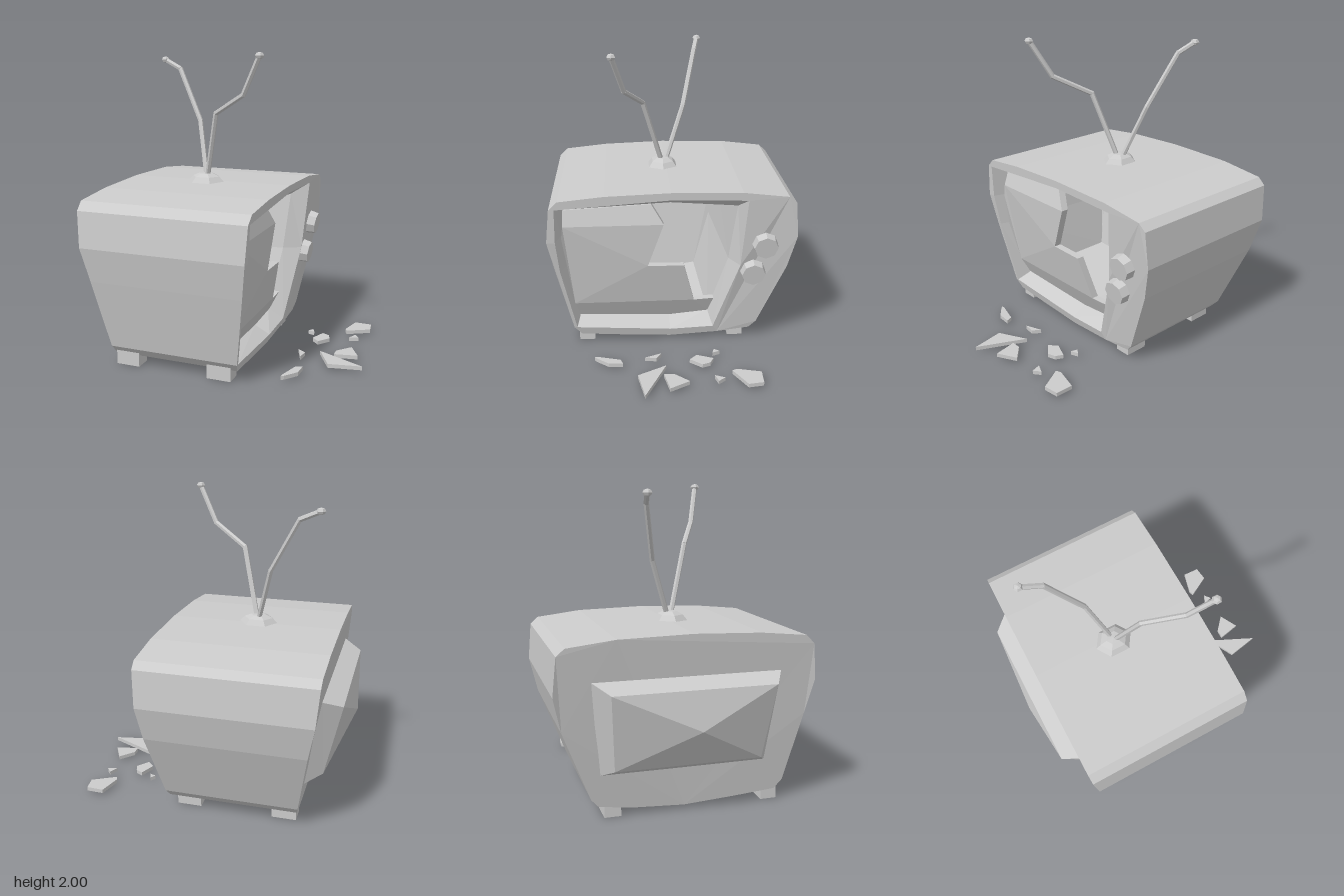
import * as THREE from 'three';

const material = new THREE.MeshStandardMaterial({ color: 0xcccccc, flatShading: true, side: THREE.DoubleSide });

// Piecewise linear lookup in a list of [key, value]
function lerpTable(table, k) {
  for (let i = 1; i < table.length; i++) {
    const [k0, v0] = table[i - 1], [k1, v1] = table[i];
    if (k <= k1 || i === table.length - 1) return v0 + (v1 - v0) * (k - k0) / (k1 - k0);
  }
}
// Leaning screen side and back side of the cabinet: x at height y
const frontX = y => lerpTable([[0.04, 0.21], [0.13, 0.235], [0.58, 0.305], [0.81, 0.338], [1.05, 0.35], [1.14, 0.355]], y);
const backX = y => lerpTable([[0.04, -0.62], [0.13, -0.635], [0.29, -0.66], [0.58, -0.71], [0.81, -0.755], [1.05, -0.775], [1.14, -0.78]], y);

// Outlines are [u, y] pairs seen from the screen side, u running towards -z
const ring = (pts, xAt) => pts.map(([u, y]) => new THREE.Vector3(xAt(y), y, -u));

function wall(a, b) {
  const out = [];
  a.forEach((p, i) => {
    const j = (i + 1) % a.length;
    out.push(b[i], b[j], a[j], b[i], a[j], p);
  });
  return out;
}

function face(pts, xAt, hole, flip) {
  const v2 = list => list.map(p => new THREE.Vector2(...p));
  const all = ring(hole ? [...pts, ...hole] : pts, xAt);
  const tris = THREE.ShapeUtils.triangulateShape(v2(pts), hole ? [v2(hole).reverse()] : []);
  const index = i => (i < pts.length ? i : all.length - 1 - (i - pts.length));
  return tris.flatMap(t => (flip ? [t[0], t[2], t[1]] : t).map(i => all[index(i)]));
}

function add(group, name, geometry) {
  const mesh = new THREE.Mesh(geometry, material);
  mesh.name = name;
  group.add(mesh);
  return mesh;
}

function solid(points) {
  const g = new THREE.BufferGeometry().setFromPoints(points);
  g.computeVertexNormals();
  return g;
}

const shapeOf = pts => new THREE.Shape(pts.map(p => new THREE.Vector2(...p)));

// Straight rod between two points
function rod(group, name, a, b, r) {
  const dir = b.clone().sub(a);
  const m = add(group, name, new THREE.CylinderGeometry(r, r, dir.length() + r * 0.5, 6));
  m.position.copy(a).add(b).multiplyScalar(0.5);
  m.quaternion.setFromUnitVectors(new THREE.Vector3(0, 1, 0), dir.normalize());
}

export function createModel() {
  const model = new THREE.Group();
  model.name = 'brokenTelevision';

  const outline = [[-0.62, 0.07], [-0.35, 0.048], [-0.015, 0.027], [0.31, 0.048], [0.53, 0.08], [0.577, 0.133],
    [0.757, 0.585], [0.81, 0.81], [0.79, 1.05], [0.74, 1.095], [0.445, 1.13], [-0.015, 1.14], [-0.44, 1.125],
    [-0.735, 1.095], [-0.79, 1.04], [-0.815, 0.81], [-0.77, 0.585], [-0.67, 0.13]];
  const opening = [[-0.65, 0.13], [-0.015, 0.085], [0.28, 0.1], [0.445, 0.6], [0.48, 1.075], [-0.015, 1.09],
    [-0.755, 1.04], [-0.76, 0.81], [-0.74, 0.585]];
  const inner = [[-0.63, 0.175], [-0.015, 0.14], [0.25, 0.175], [0.38, 0.6], [0.43, 0.995], [-0.015, 1.03],
    [-0.71, 0.995], [-0.725, 0.81], [-0.7, 0.585]];

  // Cabinet shell with a screen opening
  add(model, 'cabinet', solid([
    ...wall(ring(outline, frontX), ring(outline, backX)),
    ...face(outline, frontX, opening),
    ...face(outline, backX, null, true),
  ]));

  // Sloped frame around the screen, and the hollow inside
  const recess = y => frontX(y) - 0.12;
  const rear = y => backX(y) + 0.08;
  const small = inner.map(([u, y]) => [-0.14 + (u + 0.14) * 0.92, 0.59 + (y - 0.59) * 0.92]);
  add(model, 'screenFrame', solid(wall(ring(inner, recess), ring(opening, frontX))));
  add(model, 'cavity', solid([...wall(ring(small, rear), ring(inner, recess)), ...face(small, rear)]));

  // Broken glass in three bent bands
  const bulge = y => lerpTable([[0.14, 0], [0.29, 0.05], [0.59, 0.07], [0.89, 0.05], [1.03, 0]], y);
  const bands = [
    [[-0.715, 0.89], [-0.06, 0.89], [-0.14, 1.02], [-0.71, 0.995]],
    [[-0.66, 0.29], [0.15, 0.29], [0.075, 0.585], [-0.165, 0.59], [-0.06, 0.89], [-0.715, 0.89], [-0.725, 0.81], [-0.7, 0.585]],
    [[-0.63, 0.175], [-0.015, 0.14], [0.25, 0.175], [0.285, 0.3], [0.15, 0.29], [-0.66, 0.29]],
  ];
  const glass = new THREE.Group();
  glass.name = 'brokenScreen';
  model.add(glass);
  for (const band of bands) {
    const g = new THREE.ExtrudeGeometry(shapeOf(band), { depth: 0.05, bevelEnabled: false });
    g.rotateY(Math.PI / 2);
    const p = g.attributes.position;
    for (let i = 0; i < p.count; i++) p.setX(i, p.getX(i) - 0.05 + recess(p.getY(i)) + bulge(p.getY(i)));
    g.computeVertexNormals();
    add(glass, 'glassBand', g);
  }

  // Rear housing: sloped sides and a shallow pointed plate
  const base = [[-0.53, 0.285, -0.65], [0.53, 0.285, -0.65], [0.59, 0.885, -0.76], [-0.58, 0.885, -0.76]];
  const plate = [[-0.46, 0.345, -0.77], [0.46, 0.345, -0.77], [0.5, 0.83, -0.878], [-0.51, 0.83, -0.878]];
  const toVec = ([u, y, x]) => new THREE.Vector3(x, y, -u);
  const apex = new THREE.Vector3(-0.92, 0.59, 0.03);
  const plateRing = plate.map(toVec);
  add(model, 'rearHousing', solid([
    ...wall(base.map(toVec), plateRing),
    ...plateRing.flatMap((p, i) => [plateRing[(i + 1) % 4], p, apex]),
  ]));

  // Dials, facing along the leaning front
  for (const [y, z] of [[0.755, -0.6], [0.55, -0.53]]) {
    const dial = add(model, 'dial', new THREE.CylinderGeometry(0.078, 0.085, 0.06, 8));
    dial.position.set(frontX(y) + 0.02, y, z);
    dial.rotation.z = -Math.PI / 2 - 0.15;
  }

  // Feet
  for (const x of [-0.535, 0.1]) for (const z of [0.587, -0.44]) {
    add(model, 'foot', new THREE.BoxGeometry(0.16, 0.1, 0.105)).position.set(x, 0.05, z);
  }

  // Antenna socket
  const dome = [[0.14, 1.125], [0.095, 1.172], [0.05, 1.192], [0, 1.195]].map(p => new THREE.Vector2(...p));
  const socket = add(model, 'antennaSocket', new THREE.LatheGeometry(dome, 6, Math.PI / 2));
  socket.position.set(-0.23, 0, 0.04);
  socket.scale.z = 0.85;

  // Bent antennas with knobs on the tips
  const paths = [
    [[-0.235, 1.16, 0.02], [-0.335, 1.53, -0.11], [-0.525, 1.88, -0.2], [-0.655, 1.94, -0.23]],
    [[-0.22, 1.16, 0.045], [-0.1, 1.61, 0.175], [0.135, 1.74, 0.3], [0.265, 1.978, 0.372]],
  ];
  for (const path of paths) {
    const antenna = new THREE.Group();
    antenna.name = 'antenna';
    model.add(antenna);
    const pts = path.map(p => new THREE.Vector3(...p));
    for (let i = 1; i < pts.length; i++) rod(antenna, 'antennaRod', pts[i - 1], pts[i], 0.017);
    const tip = add(antenna, 'antennaTip', new THREE.SphereGeometry(0.03, 6, 4));
    tip.position.copy(pts[3]);
    tip.scale.y = 0.75;
  }

  // Glass shards on the ground, outlined in [x, z]
  const shards = [
    [[0.705, -0.54], [0.82, -0.535], [0.833, -0.437], [0.68, -0.354], [0.666, -0.388]],
    [[0.45, -0.3], [0.47, -0.25], [0.425, -0.265]],
    [[0.754, -0.3], [0.789, -0.255], [0.725, -0.236]],
    [[0.533, -0.25], [0.582, -0.226], [0.602, -0.172], [0.538, -0.093], [0.489, -0.143]],
    [[0.779, -0.074], [0.848, 0.054], [0.695, 0.084], [0.695, 0.02]],
    [[0.597, 0.064], [0.911, 0.211], [0.695, 0.25]],
    [[0.455, 0.088], [0.509, 0.123], [0.499, 0.2]],
    [[0.558, 0.344], [0.553, 0.437], [0.489, 0.516], [0.469, 0.53], [0.474, 0.496], [0.514, 0.359]],
  ];
  for (const s of shards) {
    const g = new THREE.ExtrudeGeometry(shapeOf(s), { depth: 0.026, bevelEnabled: false });
    g.rotateX(Math.PI / 2);
    add(model, 'glassShard', g).position.y = 0.041;
  }
  return model;
}
